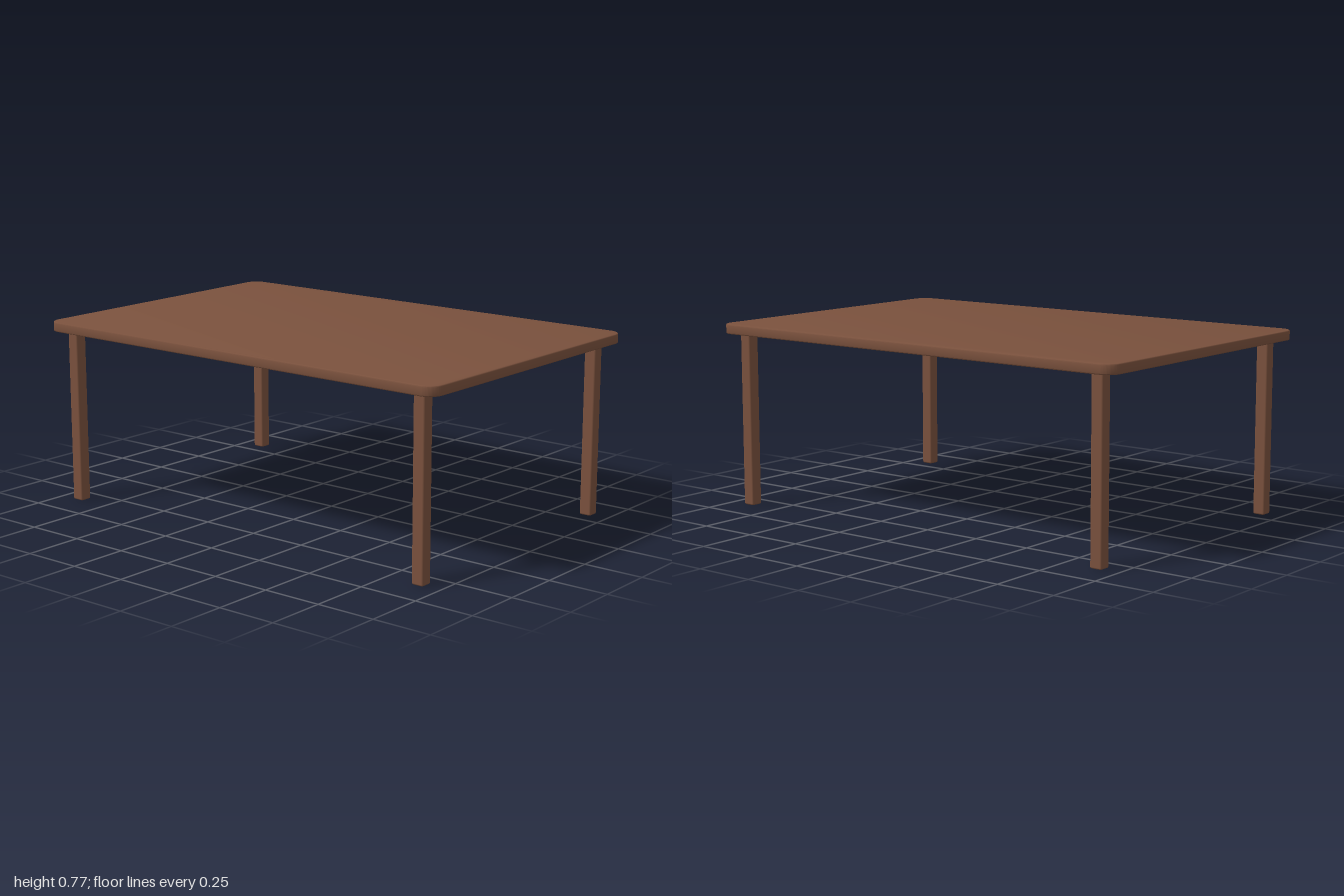
import * as THREE from 'three';
import { RoundedBoxGeometry } from 'three/addons/geometries/RoundedBoxGeometry.js';
import { toCreasedNormals } from 'three/addons/utils/BufferGeometryUtils.js';

// Slab with rounded corners in plan and softened top and bottom edges, standing on y = 0
function roundedSlab(width, depth, height, radius, bevel) {
  const x = width / 2 - bevel, z = depth / 2 - bevel, r = radius - bevel;
  const shape = new THREE.Shape();
  shape.absarc(x - r, z - r, r, 0, Math.PI / 2);
  shape.absarc(-x + r, z - r, r, Math.PI / 2, Math.PI);
  shape.absarc(-x + r, -z + r, r, Math.PI, Math.PI * 1.5);
  shape.absarc(x - r, -z + r, r, Math.PI * 1.5, Math.PI * 2);
  shape.closePath();
  const geometry = new THREE.ExtrudeGeometry(shape, {
    depth: height - 2 * bevel,
    bevelThickness: bevel,
    bevelSize: bevel,
    bevelSegments: 3,
    curveSegments: 10,
  });
  geometry.translate(0, 0, bevel);
  geometry.rotateX(-Math.PI / 2);
  return toCreasedNormals(geometry, 0.6);
}

export function createModel() {
  const table = new THREE.Group();
  table.name = 'table';
  const wood = new THREE.MeshStandardMaterial({ color: 0x7a513d });
  wood.name = 'brown wood';

  // Table top
  const top = new THREE.Mesh(roundedSlab(2, 1.318, 0.041, 0.06, 0.005), wood);
  top.name = 'tableTop';
  top.position.y = 0.733;
  table.add(top);

  // Four square legs with softened edges
  const legHeight = 0.735;
  const legGeometry = new RoundedBoxGeometry(0.052, legHeight, 0.052, 3, 0.007);
  for (const [sideName, sx] of [['Left', 1], ['Right', -1]]) {
    for (const [endName, sz] of [['front', 1], ['back', -1]]) {
      const leg = new THREE.Mesh(legGeometry, wood);
      leg.name = `${endName}${sideName}Leg`;
      leg.position.set(sx * 0.903, legHeight / 2, sz * 0.586);
      table.add(leg);
    }
  }
  return table;
}
